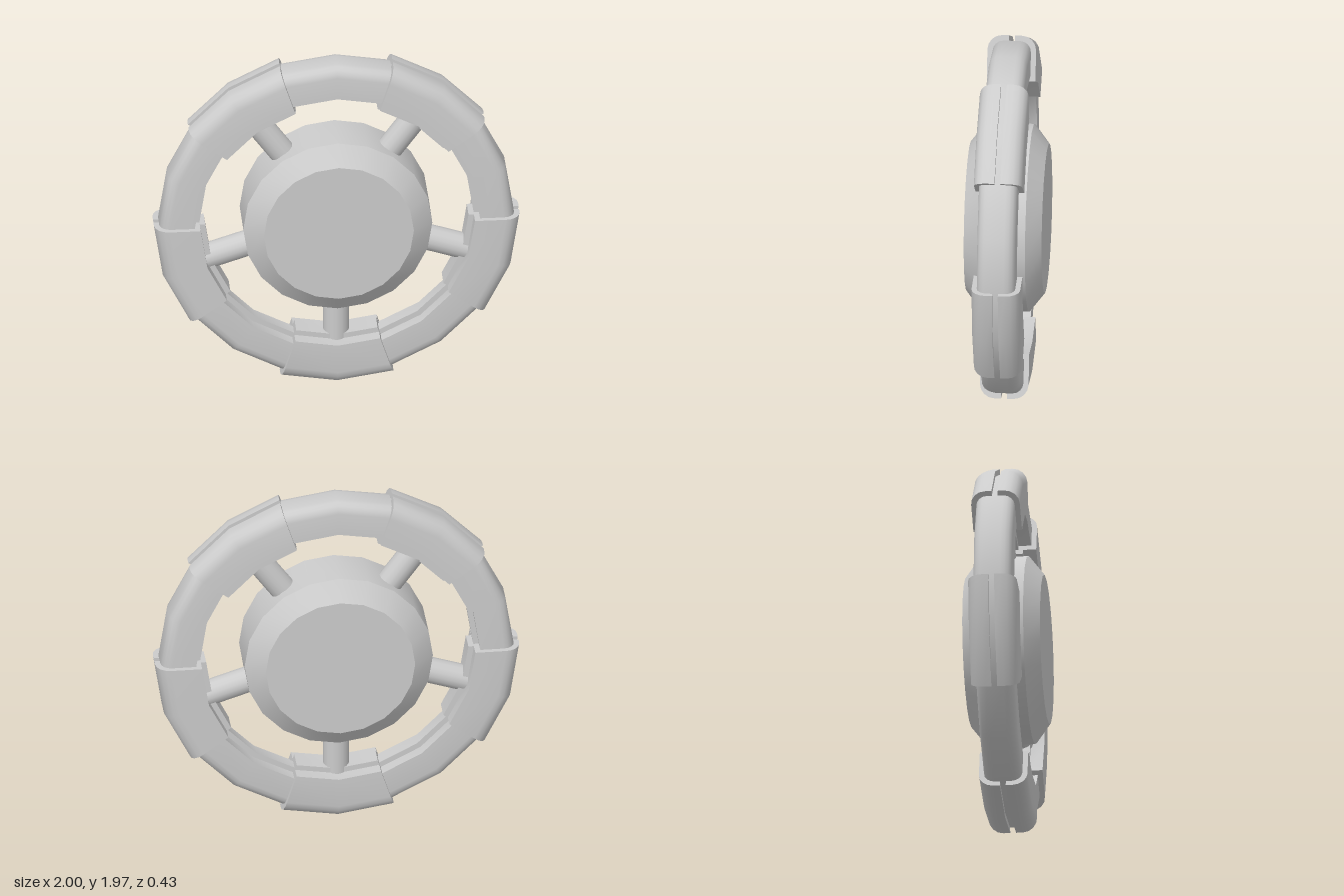
import * as THREE from 'three';
import { toCreasedNormals } from 'three/addons/utils/BufferGeometryUtils.js';

const SIDES = 20;
const STEP = (Math.PI * 2) / SIDES;
const CREASE = Math.PI / 6;

const grey = new THREE.MeshStandardMaterial({ color: 0xcccccc });
const greyDouble = new THREE.MeshStandardMaterial({ color: 0xcccccc, side: THREE.DoubleSide });

// Closed rim section (x = radius, y = depth): rounded outside, stepped ledge inside.
function rimProfile({ inner, wall, outer, half, ledge, corner, slot }) {
  const pts = [[inner, ledge], [inner, -ledge], [wall, -ledge], [wall, -half]];
  const arc = (sign, from, to) => {
    for (let i = 0; i <= 4; i++) {
      const a = from + ((to - from) * i) / 4;
      pts.push([outer - corner + corner * Math.cos(a), sign * (half - corner) + corner * Math.sin(a)]);
    }
  };
  arc(-1, -Math.PI / 2, 0);
  if (slot) pts.push([outer, -slot], [outer - 0.035, -slot], [outer - 0.035, slot], [outer, slot]);
  arc(1, 0, Math.PI / 2);
  pts.push([wall, half], [wall, ledge], [inner, ledge]);
  return pts.map(([r, d]) => new THREE.Vector2(r, d));
}

// Lathe turned so its axis runs along z, with angle 0 at the bottom.
function turned(points, segments, start, length) {
  const geo = new THREE.LatheGeometry(points, segments, start, length);
  geo.rotateX(Math.PI / 2);
  return toCreasedNormals(geo, CREASE);
}

function add(parent, name, geometry, material = grey) {
  const mesh = new THREE.Mesh(geometry, material);
  mesh.name = name;
  parent.add(mesh);
  return mesh;
}

export function createModel() {
  const model = new THREE.Group();
  model.name = 'wheel';
  const wheel = new THREE.Group();
  wheel.name = 'wheelAssembly';
  wheel.position.y = 1;
  model.add(wheel);

  // Rim
  const rim = rimProfile({ inner: 0.75, wall: 0.78, outer: 0.97, half: 0.105, ledge: 0.035, corner: 0.06 });
  add(wheel, 'rim', turned(rim, SIDES, 0, Math.PI * 2));

  // Hub with chamfered faces
  const hub = [[0, -0.213], [0.41, -0.213], [0.517, -0.13], [0.517, 0.13], [0.41, 0.213], [0, 0.213]]
    .map(([r, d]) => new THREE.Vector2(r, d));
  add(wheel, 'hub', turned(hub, SIDES, 0, Math.PI * 2));

  // Five grip sleeves, each on its own spoke
  const section = rimProfile({
    inner: 0.72, wall: 0.75, outer: 1, half: 0.133, ledge: 0.06, corner: 0.08, slot: 0.016,
  });
  const sleeveGeo = turned(section, 2, -STEP, STEP * 2);
  const capGeos = [-STEP, STEP].map((angle) => {
    const cap = new THREE.ShapeGeometry(new THREE.Shape(section.slice(0, -1)));
    cap.rotateY(angle - Math.PI / 2);
    cap.rotateX(Math.PI / 2);
    return cap;
  });
  const spokeGeo = new THREE.CylinderGeometry(0.072, 0.072, 0.31, 16);
  spokeGeo.translate(0, -0.605, 0);

  for (let i = 0; i < 5; i++) {
    const arm = new THREE.Group();
    arm.name = `arm${i + 1}`;
    arm.rotation.z = (i * Math.PI * 2) / 5;
    add(arm, 'gripSleeve', sleeveGeo);
    capGeos.forEach((geo) => add(arm, 'gripSleeveEnd', geo, greyDouble));
    add(arm, 'spoke', spokeGeo);
    wheel.add(arm);
  }
  return model;
}
